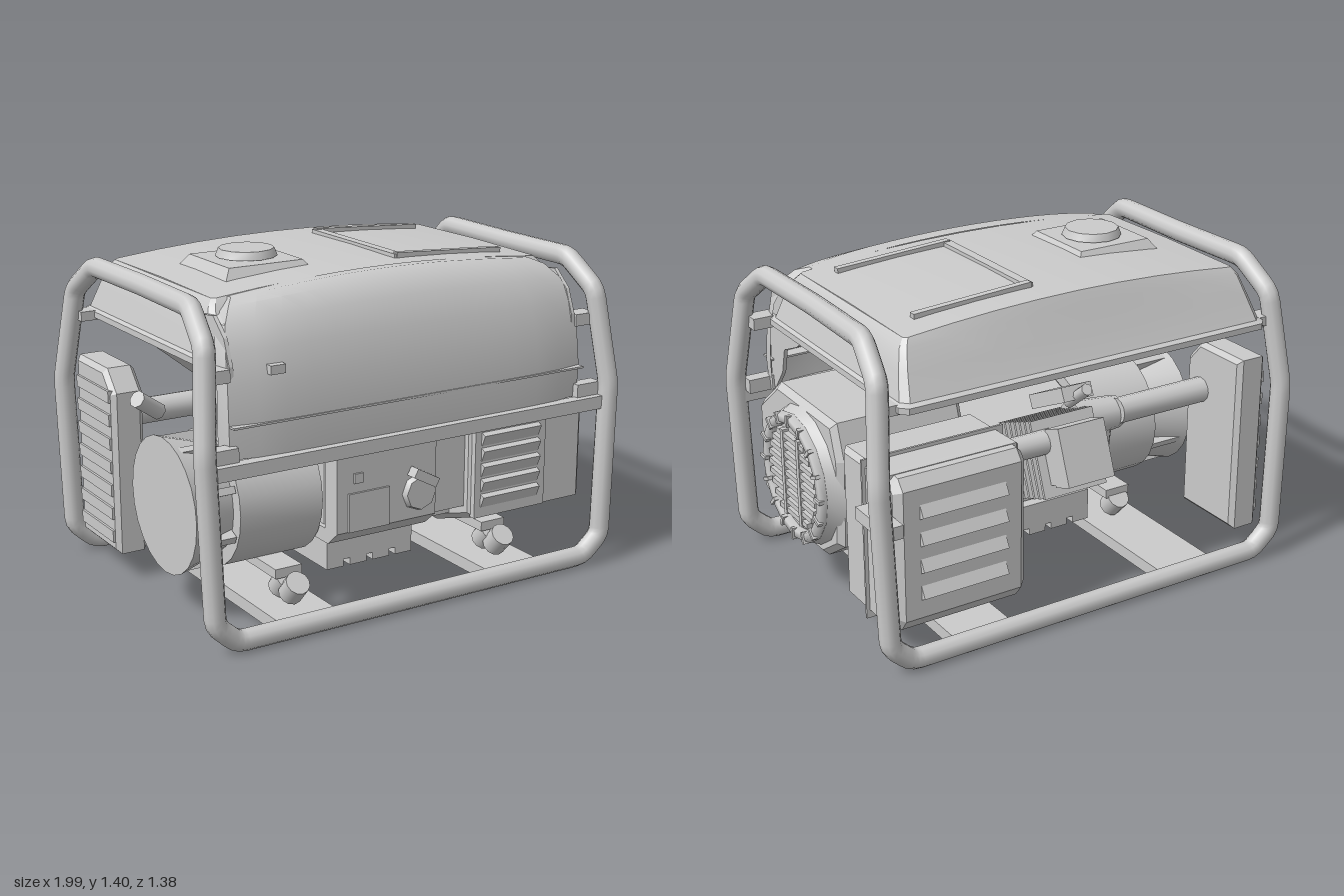
import * as THREE from 'three';
import { toCreasedNormals } from 'three/addons/utils/BufferGeometryUtils.js';

const V = (x, y, z) => new THREE.Vector3(x, y, z);

export function createModel() {
  const model = new THREE.Group();
  const mat = new THREE.MeshStandardMaterial({ color: 0xcccccc, side: THREE.DoubleSide });

  const add = (name, geo, pos = [0, 0, 0], rot = [0, 0, 0]) => {
    const m = new THREE.Mesh(geo, mat);
    m.name = name;
    m.position.set(...pos);
    m.rotation.set(...rot);
    model.add(m);
    return m;
  };
  // Box from its limits on each axis
  const box = (name, x0, x1, y0, y1, z0, z1) =>
    add(name, new THREE.BoxGeometry(x1 - x0, y1 - y0, z1 - z0), [(x0 + x1) / 2, (y0 + y1) / 2, (z0 + z1) / 2]);
  // Cylinder along x
  const drum = (name, x0, x1, y, z, r0, r1 = r0, sides = 24) =>
    add(name, toCreasedNormals(new THREE.CylinderGeometry(r0, r1, x1 - x0, sides), 0.6), [(x0 + x1) / 2, y, z], [0, 0, Math.PI / 2]);
  // Outline of [z, y] points extruded along x
  const prism = (name, pts, x0, x1, bevel = 0) => {
    const shape = new THREE.Shape(pts.map(([z, y]) => new THREE.Vector2(-z, y)));
    const geo = new THREE.ExtrudeGeometry(shape, {
      depth: x1 - x0 - 2 * bevel, bevelEnabled: bevel > 0, bevelSize: bevel, bevelThickness: bevel,
      bevelOffset: -bevel, bevelSegments: 1,
    });
    geo.rotateY(Math.PI / 2).translate(x0 + bevel, 0, 0);
    return add(name, geo);
  };
  // Surface through rows of points
  const loft = (name, rows, closed) => {
    const n = rows[0].length, idx = [];
    for (let r = 0; r < rows.length - 1; r++)
      for (let i = 0; i < (closed ? n : n - 1); i++) {
        const a = r * n + i, b = r * n + (i + 1) % n;
        idx.push(a, b, a + n, b, b + n, a + n);
      }
    const geo = new THREE.BufferGeometry().setFromPoints(rows.flat());
    geo.setIndex(idx);
    return add(name, toCreasedNormals(geo, 0.5));
  };

  // Tube frame: one closed loop with rounded bends
  const quarter = [[0.835, 0.052, 0.643], [0.927, 0.135, 0.646], [0.95, 0.8, 0.635], [0.91, 1.19, 0.572], [0.885, 1.308, 0.42]];
  const flip = (pts, sx, sz) => pts.map(([x, y, z]) => V(x * sx, y, z * sz));
  const corners = [...flip(quarter, 1, 1), V(0.875, 1.308, 0), ...flip(quarter, 1, -1).reverse(),
    ...flip(quarter, -1, -1), V(-0.875, 1.308, 0), ...flip(quarter, -1, 1).reverse()];
  const path = new THREE.CurvePath();
  const bends = corners.map((p, i) => {
    const toward = q => p.clone().add(q.clone().sub(p).setLength(0.035));
    const n = corners.length;
    return [toward(corners[(i + n - 1) % n]), p, toward(corners[(i + 1) % n])];
  });
  bends.forEach((b, i) => {
    path.add(new THREE.QuadraticBezierCurve3(...b));
    path.add(new THREE.LineCurve3(b[2], bends[(i + 1) % bends.length][0]));
  });
  add('tubeFrame', new THREE.TubeGeometry(path, 400, 0.043, 10, true));
  for (const s of [-1, 1]) {
    add('tankBracket', new THREE.BoxGeometry(0.1, 0.05, 0.08), [s * 0.86, 1.07, 0.54]);
    add('tankBracket', new THREE.BoxGeometry(0.1, 0.04, 0.08), [s * 0.86, 1.08, -0.56]);
  }
  box('frontRail', -0.95, 0.95, 0.695, 0.75, 0.6, 0.65);

  // Channel cross members and rubber feet
  for (const x of [-0.5, 0.5]) {
    box('crossMember', x - 0.13, x + 0.13, 0.055, 0.068, -0.63, 0.63);
    for (const dx of [-0.105, 0.105])
      box('crossMemberRib', x + dx - 0.025, x + dx + 0.025, 0.015, 0.06, -0.63, 0.63);
    for (const [z, tilt] of [[0.5, 0.75], [0.42, 0.75], [-0.1, -0.75]])
      add('rubberMount', new THREE.CylinderGeometry(0.05, 0.05, 0.09, 12), [x, 0.145, z], [tilt, 0, 0]);
    box('mountBracket', x - 0.06, x + 0.06, 0.18, 0.22, -0.12, 0.46);
  }

  // Fuel tank: rounded shell with a domed top and tapered underside
  const ring = (y, hx, z0, z1, c, dome = 0) => {
    const out = [], n = 8;
    for (const s of [1, -1])
      for (let i = -1; i <= n + 1; i++) {
        const end = i < 0 || i > n;
        const t = THREE.MathUtils.clamp(i, 0, n) / n * 2 - 1;
        const x = s * (end ? Math.sign(i) * hx : t * (hx - c));
        const z = s > 0 ? z1 - (end ? c : 0) : z0 + (end ? c : 0);
        out.push(V(x, y + dome * (1 - (x / hx) ** 2), z));
      }
    return out;
  };
  loft('fuelTank', [
    ring(0.885, 0.6, 0.1, 0.1, 0), ring(0.885, 0.6, -0.12, 0.41, 0.02), ring(0.98, 0.68, -0.43, 0.43, 0.02),
    ring(1.07, 0.77, -0.55, 0.45, 0.03), ring(1.07, 0.85, -0.645, 0.5, 0.03), ring(1.095, 0.85, -0.645, 0.5, 0.03),
    ring(1.105, 0.835, -0.625, 0.48, 0.03), ring(1.2, 0.81, -0.575, 0.44, 0.025), ring(1.28, 0.785, -0.535, 0.39, 0.02, 0.02),
    ring(1.31, 0.76, -0.51, 0.36, 0.015, 0.042), ring(1.315, 0.76, -0.07, -0.07, 0, 0.042),
  ], true);

  // Filler neck plinth and cap
  const plinth = new THREE.CylinderGeometry(0.235, 0.295, 0.06, 4).rotateY(Math.PI / 4).toNonIndexed();
  plinth.computeVertexNormals();
  add('fillerPlinth', plinth, [-0.415, 1.34, -0.005]);
  add('fillerNeck', new THREE.CylinderGeometry(0.1, 0.1, 0.04, 16), [-0.41, 1.37, -0.01]);
  add('fuelCap', toCreasedNormals(new THREE.CylinderGeometry(0.112, 0.125, 0.032, 12), 0.6), [-0.41, 1.391, -0.01]);

  // Raised lip around the tray on the tank
  box('trayLip', 0.12, 0.16, 1.33, 1.368, -0.38, 0.26);
  for (const z of [-0.37, 0.25])
    add('trayLip', new THREE.BoxGeometry(0.52, 0.03, 0.03), [0.39, 1.343, z], [0, 0, -0.06]);

  // Curved front cowl: [y, z, half width]
  const cowl = [[0.75, 0.615, 0.82], [0.88, 0.62, 0.825], [1.03, 0.605, 0.82], [1.15, 0.575, 0.81],
    [1.24, 0.53, 0.785], [1.295, 0.475, 0.74], [1.315, 0.42, 0.7], [1.312, 0.36, 0.7]];
  loft('frontCowl', cowl.map(([y, z, w]) => {
    const row = [];
    for (let i = 0; i <= 14; i++) {
      const t = i / 7 - 1;
      row.push(V(w * t, y + 0.04 * Math.max(0, (y - 1.1) / 0.2) * (1 - t * t), z - 0.03 * t ** 8));
    }
    const side = s => V(s * (w + 0.012), y - (y > 1.28 ? 0.03 : 0), Math.min(z - 0.09, 0.52));
    return [side(-1), ...row, side(1)];
  }));
  box('cowlSeam', -0.822, 0.822, 0.876, 0.884, 0.55, 0.624);
  for (const s of [-1, 1]) {
    const x = s * 0.8;
    prism('cowlCheek', [[0.53, 1.2], [0.45, 1.27], [0.37, 1.26], [0.37, 1.17], [0.45, 1.14], [0.46, 1.07], [0.24, 1.07],
      [0.32, 1.01], [0.44, 0.96], [0.47, 0.85], [0.55, 0.75], [0.58, 0.8], [0.57, 1.1]], x - 0.008, x + 0.008);
    add('cowlFoot', new THREE.BoxGeometry(0.12, 0.06, 0.06), [s * 0.86, 0.775, 0.59]);
  }
  box('fuelGauge', -0.66, -0.595, 1.06, 1.095, 0.57, 0.615);

  // Engine shroud with front louvres
  prism('engineShroud', [[0.57, 0.3], [0.57, 0.7], [0.38, 0.85], [-0.12, 0.85], [-0.17, 0.7], [-0.15, 0.32], [0, 0.22], [0.3, 0.21]], 0.3, 0.88, 0.025);
  box('louvrePanel', 0.31, 0.67, 0.3, 0.7, 0.55, 0.58);
  for (let i = 0; i < 5; i++)
    add('louvre', new THREE.BoxGeometry(0.29, 0.05, 0.04), [0.485, 0.375 + i * 0.066, 0.575], [0.4, 0, 0]);

  // Recoil starter cover and grille
  const ry = 0.535, rz = 0.135;
  drum('recoilCover', 0.84, 0.92, ry, rz, 0.315, 0.275, 16);
  add('recoilRing', new THREE.TorusGeometry(0.25, 0.028, 6, 16), [0.925, ry, rz], [0, Math.PI / 2, 0]);
  for (let i = 0; i < 16; i++) {
    const a = i / 16 * Math.PI * 2;
    add('recoilRib', new THREE.BoxGeometry(0.025, 0.05, 0.015), [0.945, ry + 0.25 * Math.cos(a), rz + 0.25 * Math.sin(a)], [a, 0, 0]);
  }
  for (let i = -4; i <= 4; i++) {
    const y = i * 0.042, half = Math.sqrt(0.21 ** 2 - y * y);
    box('grilleBar', 0.915, 0.945, ry + y - 0.011, ry + y + 0.011, rz - half, rz + half);
  }
  for (const z of [-0.07, 0.07]) box('grillePost', 0.915, 0.948, ry - 0.19, ry + 0.19, rz + z - 0.012, rz + z + 0.012);

  // Muffler box with rear louvres and stay
  prism('mufflerBox', [[-0.18, 0.13], [-0.18, 0.78], [-0.53, 0.79], [-0.53, 0.13]], 0.27, 0.87, 0.02);
  prism('mufflerCover', [[-0.5, 0.14], [-0.5, 0.79], [-0.56, 0.785], [-0.597, 0.74], [-0.597, 0.19], [-0.56, 0.14]], 0.28, 0.86, 0.03);
  for (let i = 0; i < 4; i++)
    add('mufflerLouvre', new THREE.BoxGeometry(0.38, 0.06, 0.03), [0.57, 0.3 + i * 0.115, -0.595], [0.5, 0, 0]);
  box('mufflerFlange', 0.255, 0.885, 0.115, 0.8, -0.375, -0.365);
  box('mufflerStay', 0.86, 0.94, 0.585, 0.64, -0.65, -0.42);

  // Crankcase, tilted finned cylinder and head
  prism('crankcase', [[0.42, 0.28], [0.42, 0.66], [0.1, 0.74], [-0.12, 0.66], [-0.15, 0.3]], -0.3, 0.32, 0.02);
  const cylinder = new THREE.Group();
  cylinder.name = 'finnedCylinder';
  const part = (w, h, d, y) => {
    const m = new THREE.Mesh(new THREE.BoxGeometry(w, h, d), mat);
    m.position.y = y;
    cylinder.add(m);
  };
  part(0.22, 0.38, 0.22, 0);
  for (let i = 0; i < 7; i++) part(0.3, 0.014, 0.32, -0.1 + i * 0.04);
  part(0.22, 0.1, 0.24, 0.23);
  cylinder.position.set(-0.02, 0.58, -0.3);
  cylinder.rotation.x = -1.2;
  model.add(cylinder);
  drum('exhaustPipe', 0.05, 0.3, 0.7, -0.42, 0.05, 0.05, 12);

  // Carburettor, intake and governor linkage
  add('governorArm', new THREE.BoxGeometry(0.14, 0.06, 0.26), [-0.05, 0.84, -0.33], [0.45, 0, 0]);
  add('chokeLever', new THREE.CylinderGeometry(0.025, 0.025, 0.16, 8), [-0.05, 0.88, -0.45], [-0.9, 0, 0]);
  drum('carburettor', -0.36, -0.14, 0.68, -0.28, 0.07, 0.09, 12);
  add('floatBowl', new THREE.CylinderGeometry(0.06, 0.05, 0.12, 12), [-0.27, 0.58, -0.28]);
  drum('intakeDuct', -0.8, -0.34, 0.7, -0.32, 0.055, 0.055, 12);

  // Corrugated oil pan
  box('oilPan', -0.3, 0.11, 0.18, 0.29, -0.18, 0.42);
  for (let i = 0; i < 4; i++) box('oilPanRib', -0.3 + i * 0.11, -0.22 + i * 0.11, 0.15, 0.19, -0.18, 0.42);

  // Control panel
  box('controlPanel', -0.32, 0.15, 0.34, 0.7, 0.44, 0.53);
  prism('controlPanelBase', [[0.53, 0.34], [0.46, 0.28], [0.36, 0.28], [0.36, 0.34]], -0.32, 0.15);
  box('panelFiller', 0.14, 0.31, 0.34, 0.7, 0.42, 0.52);
  box('outletCover', -0.27, -0.08, 0.34, 0.5, 0.52, 0.54);
  box('breaker', -0.245, -0.205, 0.54, 0.58, 0.52, 0.54);
  add('switchBase', new THREE.CylinderGeometry(0.07, 0.08, 0.03, 8), [0.065, 0.45, 0.54], [Math.PI / 2, 0, 0]);
  add('switchKnob', new THREE.BoxGeometry(0.12, 0.04, 0.05), [0.07, 0.52, 0.56], [0, 0, -0.5]);

  // Alternator with tapered end bell
  const ay = 0.46, az = 0.16;
  drum('alternator', -0.7, -0.33, ay, az, 0.28);
  drum('endBell', -0.89, -0.69, ay, az, 0.28, 0.22);
  for (let i = 0; i < 8; i++) {
    const a = i / 8 * Math.PI * 2 + 0.39;
    add('endBellRib', new THREE.BoxGeometry(0.17, 0.06, 0.03), [-0.79, ay + 0.24 * Math.cos(a), az + 0.24 * Math.sin(a)], [a, 0, 0]);
  }
  box('terminalBox', -0.62, -0.48, 0.64, 0.71, 0.24, 0.46);
  add('fuelValve', new THREE.CylinderGeometry(0.035, 0.035, 0.14, 8), [-0.92, 0.86, 0.11], [0.5, 0, 0.9]);

  // Slatted air cleaner case
  prism('airCleaner', [[-0.22, 0.13], [-0.22, 0.82], [-0.3, 0.91], [-0.57, 0.91], [-0.57, 0.13]], -0.92, -0.78, 0.02);
  for (let i = 0; i < 7; i++) box('airCleanerSlat', -0.93, -0.9, 0.18 + i * 0.1, 0.23 + i * 0.1, -0.55, -0.24);
  return model;
}
